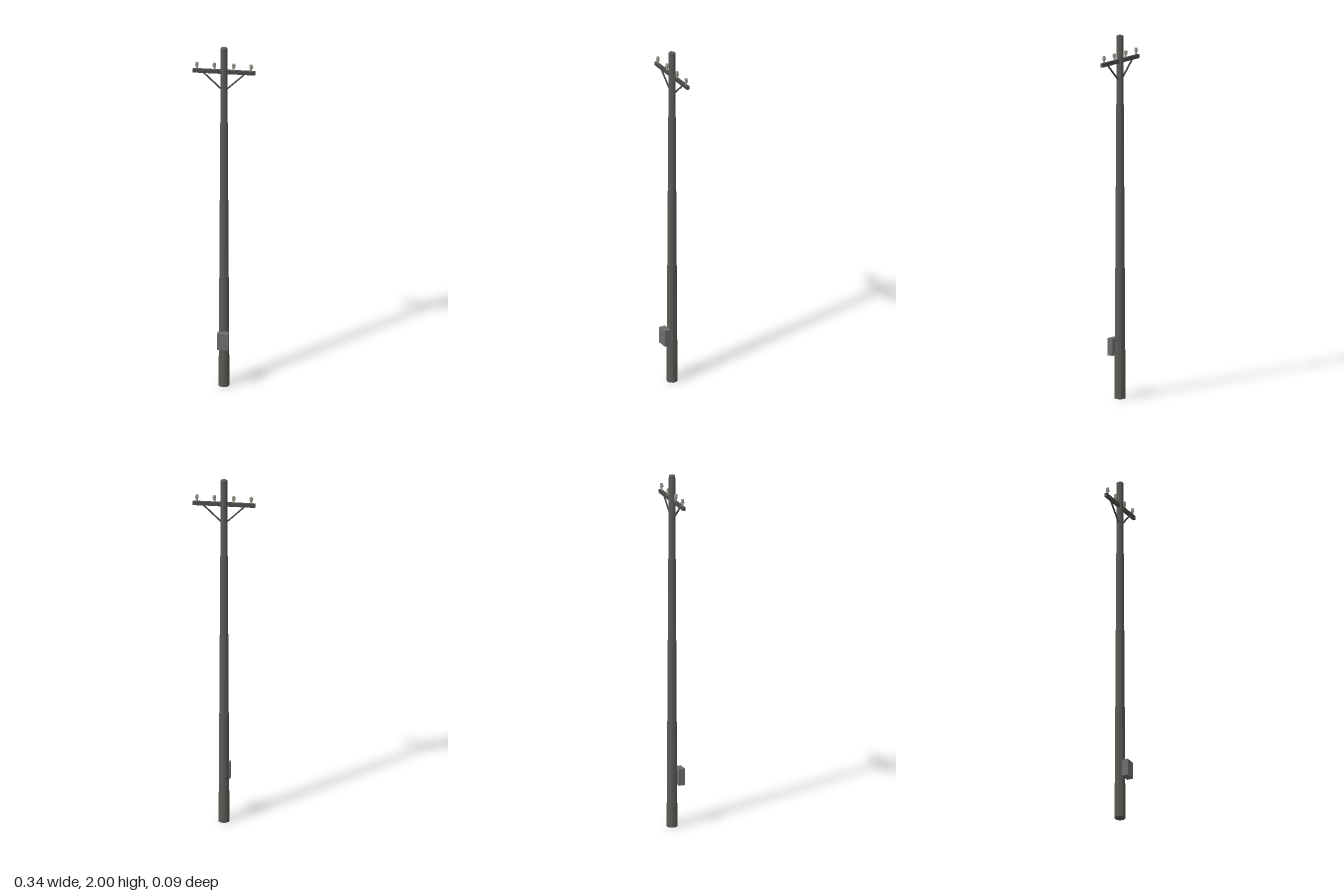
import * as THREE from 'three';

export function createModel() {
  const group = new THREE.Group();
  group.name = 'utilityPole';
  const Z = -0.0165; // pole axis, set back to balance the box

  const material = (color) => new THREE.MeshStandardMaterial({ color, flatShading: true });
  const poleMat = material(0x5b5a55);
  const armMat = material(0x4b4c4d);
  const boxMat = material(0x6c6e6f);
  const insulatorMat = material(0x99948a);

  function add(name, geometry, mat, x, y, z = Z, parent = group) {
    const mesh = new THREE.Mesh(geometry, mat);
    mesh.name = name;
    mesh.position.set(x, y, z);
    parent.add(mesh);
    return mesh;
  }

  // Tapered ten-sided pole
  add('pole', new THREE.CylinderGeometry(0.018, 0.03, 2, 10), poleMat, 0, 1, Z);

  // Crossarm through the pole
  add('crossarm', new THREE.BoxGeometry(0.34, 0.021, 0.015), armMat, 0, 1.86);

  // Diagonal braces from pole to crossarm
  const inner = new THREE.Vector2(0.008, 1.75);
  const outer = new THREE.Vector2(0.115, 1.853);
  const span = outer.clone().sub(inner);
  for (const side of [-1, 1]) {
    const brace = add(side > 0 ? 'leftBrace' : 'rightBrace',
      new THREE.BoxGeometry(span.length(), 0.007, 0.007), armMat,
      side * (inner.x + outer.x) / 2, (inner.y + outer.y) / 2);
    brace.rotation.z = side * span.angle();
  }

  // Insulators: slim pin with a wider six-sided head
  const pinGeometry = new THREE.CylinderGeometry(0.006, 0.006, 0.022, 6);
  const headGeometry = new THREE.CylinderGeometry(0.0085, 0.011, 0.02, 6);
  for (const x of [-0.148, -0.053, 0.053, 0.148]) {
    const insulator = new THREE.Group();
    insulator.name = 'insulator';
    insulator.position.set(x, 1.87, Z);
    add('insulatorPin', pinGeometry, insulatorMat, 0, 0.01, 0, insulator);
    add('insulatorHead', headGeometry, insulatorMat, 0, 0.028, 0, insulator);
    group.add(insulator);
  }

  // Service box on the front of the pole
  add('serviceBox', new THREE.BoxGeometry(0.06, 0.095, 0.035), boxMat, 0, 0.282, 0.0285);

  return group;
}
